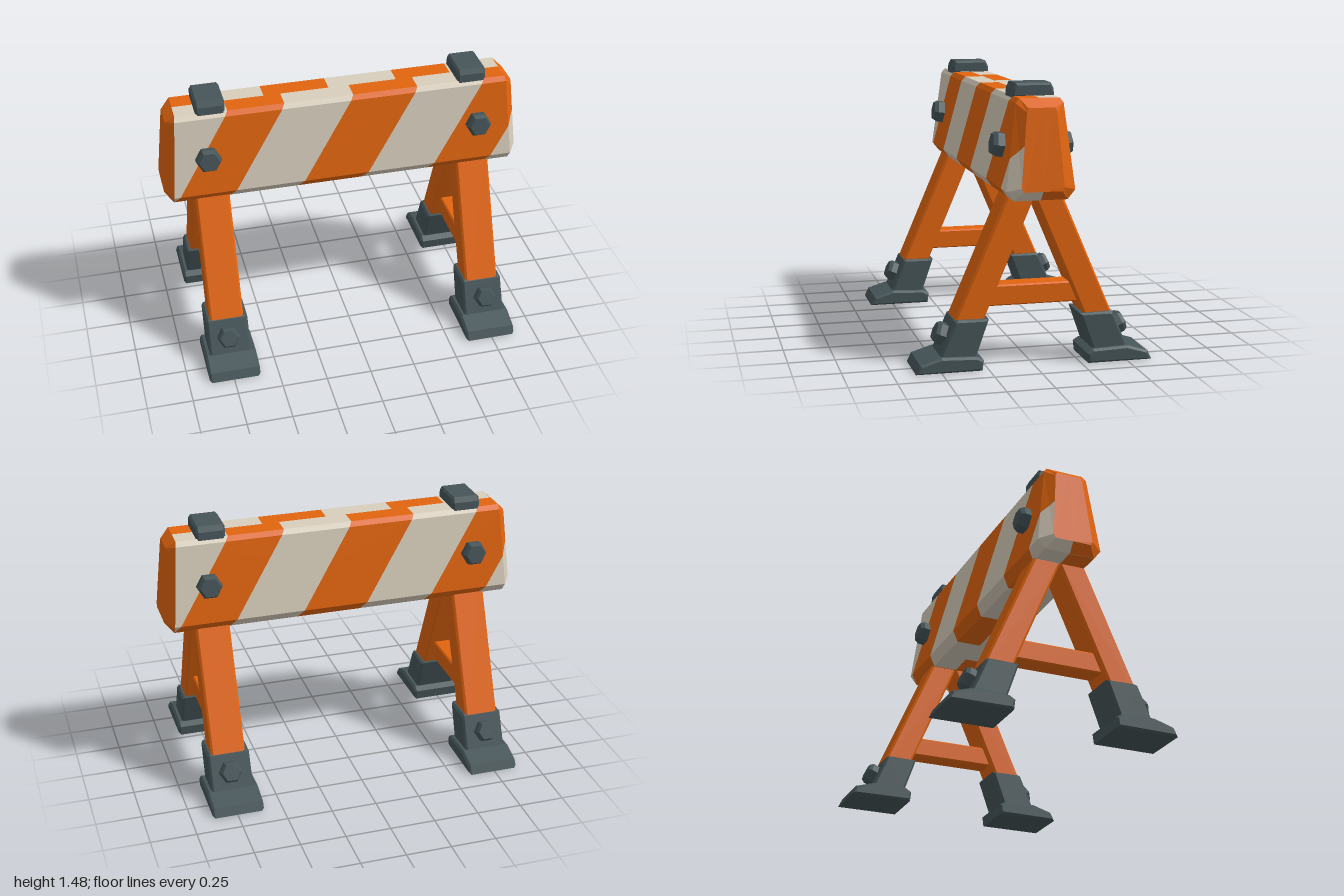
import * as THREE from 'three';

const orange = new THREE.MeshStandardMaterial({ color: 0xe2650f });
orange.name = 'orange paint';
const cream = new THREE.MeshStandardMaterial({ color: 0xd8cebc });
cream.name = 'cream stripe';
const slate = new THREE.MeshStandardMaterial({ color: 0x465559 });
slate.name = 'slate rubber';

function add(parent, name, geometry, material, x = 0, y = 0, z = 0) {
  const mesh = new THREE.Mesh(geometry, material);
  mesh.name = name;
  mesh.position.set(x, y, z);
  parent.add(mesh);
  return mesh;
}

// Outline of [z, y] points extruded along x, centred, with chamfered rims
function prism(outline, width, bevel) {
  const shape = new THREE.Shape(outline.map(([z, y]) => new THREE.Vector2(z, y)));
  const geometry = new THREE.ExtrudeGeometry(shape, {
    depth: width - 2 * bevel, bevelEnabled: true, bevelSegments: 1,
    bevelThickness: bevel, bevelSize: bevel, bevelOffset: -bevel,
  });
  geometry.translate(0, 0, bevel - width / 2);
  return geometry.rotateY(-Math.PI / 2);
}

// Six-sided bolt head with a chamfered top, pointing to +z and tilted upward
function bolt(radius, height, tilt) {
  const profile = [[radius, 0], [radius, height * 0.65], [radius * 0.8, height], [0, height]];
  const lathe = new THREE.LatheGeometry(profile.map(([r, h]) => new THREE.Vector2(r, h)), 6);
  const geometry = lathe.rotateY(Math.PI / 6).rotateX(Math.PI / 2 - tilt).toNonIndexed();
  geometry.computeVertexNormals();
  return geometry;
}

// Part of a polygon on one side of a slanted stripe edge
const stripeX = (p) => p.x - 0.62 * (p.y - 1.4);
function clip(polygon, edge, sign) {
  const out = [];
  polygon.forEach((a, i) => {
    const b = polygon[(i + 1) % polygon.length];
    const da = sign * (stripeX(a) - edge);
    const db = sign * (stripeX(b) - edge);
    if (da >= 0) out.push(a);
    if (da * db < 0) out.push(a.clone().lerp(b, da / (da - db)));
  });
  return out;
}

function fanGeometry(polygons) {
  const points = [];
  for (const p of polygons) {
    for (let i = 1; i < p.length - 1; i++) points.push(p[0], p[i], p[i + 1]);
  }
  const geometry = new THREE.BufferGeometry().setFromPoints(points);
  geometry.computeVertexNormals();
  return geometry;
}

// Front half of the tapered beam, cut into orange and cream faces
function halfBeam() {
  // [x, y, z] from top centre, over the front, to bottom centre
  const body = [[0.915, 1.41, 0], [0.915, 1.41, 0.105], [0.92, 1.385, 0.125],
    [0.955, 0.945, 0.18], [0.955, 0.895, 0.14], [0.955, 0.895, 0]];
  const end = [[0.965, 1.365, 0], [0.965, 1.365, 0.07], [0.967, 1.345, 0.078],
    [1, 0.965, 0.112], [1, 0.945, 0.1], [1, 0.945, 0]];
  const ring = (section, side) => section.map(([x, y, z]) => new THREE.Vector3(side * x, y, z));
  const rings = [ring(end, -1), ring(body, -1), ring(body, 1), ring(end, 1)];
  const edges = [-3, -0.64, -0.33, 0.05, 0.41, 0.79, 1.12, 3];
  const faces = { orange: [[...rings[0]].reverse(), rings[3]], cream: [] };

  for (let i = 0; i < 3; i++) {
    for (let j = 0; j < body.length - 1; j++) {
      const [a, b] = [rings[i][j], rings[i][j + 1]];
      const [c, d] = [rings[i + 1][j + 1], rings[i + 1][j]];
      for (const triangle of [[a, b, c], [a, c, d]]) {
        if (i === 0) {
          faces.orange.push(triangle);
          continue;
        }
        for (let k = 0; k < edges.length - 1; k++) {
          const piece = clip(clip(triangle, edges[k], 1), edges[k + 1], -1);
          if (piece.length > 2) faces[k % 2 ? 'orange' : 'cream'].push(piece);
        }
      }
    }
  }
  return { orange: fanGeometry(faces.orange), cream: fanGeometry(faces.cream) };
}

export function createModel() {
  const model = new THREE.Group();
  model.name = 'roadBarrier';

  const beam = halfBeam();
  const leg = prism([[0.035, 1.0], [0.105, 1.0], [0.465, 0.16], [0.31, 0.16], [0.0, 0.89]], 0.19, 0.012);
  const footBase = prism([[0.285, 0], [0.635, 0], [0.612, 0.048], [0.5, 0.082],
    [0.31, 0.075], [0.278, 0.055]], 0.285, 0.012);
  const footSocket = prism([[0.32, 0.05], [0.515, 0.05], [0.425, 0.262], [0.41, 0.268],
    [0.245, 0.265]], 0.232, 0.012);
  const beamBolt = bolt(0.07, 0.065, 0.13);
  const footBolt = bolt(0.062, 0.055, 0.4);
  const brace = prism([[-0.25, 0.32], [0.25, 0.32], [0.22, 0.43], [-0.22, 0.43]], 0.12, 0.008);
  const cap = prism([[-0.112, 1.4], [0.112, 1.4], [0.108, 1.445], [0.093, 1.475],
    [-0.093, 1.475], [-0.108, 1.445]], 0.16, 0.012);

  // Front and back are the same half turned around
  for (const [name, turn] of [['front', 0], ['back', Math.PI]]) {
    const half = new THREE.Group();
    half.name = name + 'Half';
    half.rotation.y = turn;
    add(half, 'beamPanel', beam.orange, orange);
    add(half, 'beamStripes', beam.cream, cream);
    for (const side of [-1, 1]) {
      const x = side * 0.743;
      add(half, 'leg', leg, orange, x);
      add(half, 'footBase', footBase, slate, x);
      add(half, 'footSocket', footSocket, slate, x);
      add(half, 'footBolt', footBolt, slate, side * 0.748, 0.172, 0.462);
      add(half, 'beamBolt', beamBolt, slate, side * 0.757, 1.157, 0.147);
    }
    model.add(half);
  }

  // Braces between the legs and caps on the beam
  for (const side of [-1, 1]) {
    add(model, 'legBrace', brace, orange, side * 0.743);
    add(model, 'topCap', cap, slate, side * 0.725);
  }
  return model;
}
